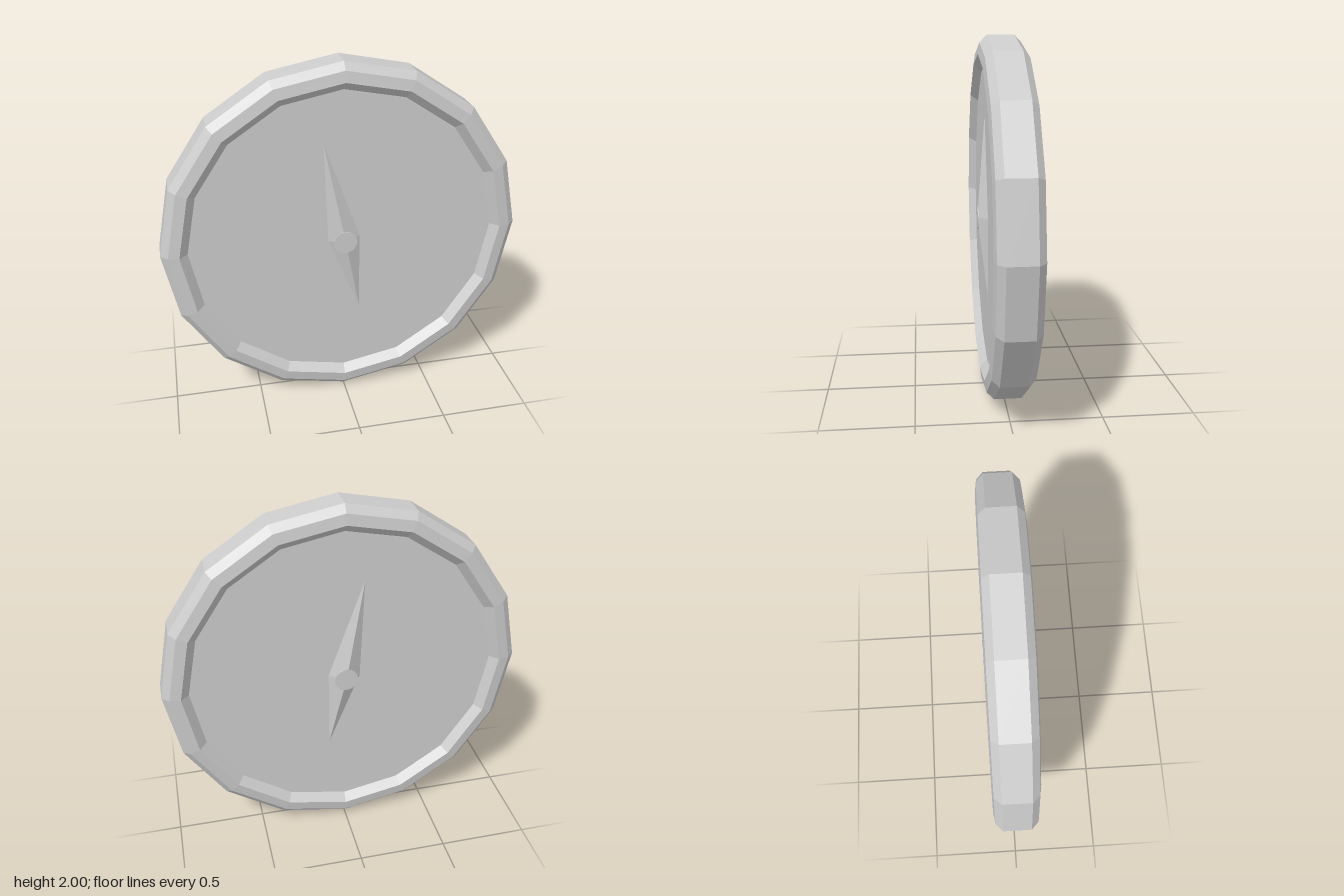
import * as THREE from 'three';

const metal = new THREE.MeshStandardMaterial({ color: 0xcccccc });
metal.name = 'light grey';

const DIAL_Z = 0.078;
const HUB_Z = 0.131;
const SIDES = 16;

// Faceted mesh with one normal per face
function flatMesh(name, geometry) {
  const g = geometry.index ? geometry.toNonIndexed() : geometry;
  g.computeVertexNormals();
  const mesh = new THREE.Mesh(g, metal);
  mesh.name = name;
  return mesh;
}

// Four-sided raised needle; flip = -1 mirrors it left to right
function needleGeometry(flip) {
  const corners = [[-0.11, 0.57], [-0.087, -0.01], [0.09, -0.45], [0.09, 0.01]]
    .map(([x, y]) => [x * flip, y, DIAL_Z]);
  if (flip < 0) corners.reverse();
  const positions = [];
  corners.forEach((corner, i) => {
    positions.push(0, 0, HUB_Z - 0.001, ...corner, ...corners[(i + 1) % 4]);
  });
  const g = new THREE.BufferGeometry();
  g.setAttribute('position', new THREE.Float32BufferAttribute(positions, 3));
  return g;
}

// Dial, needle and hub for one side of the compass
function createFace(name, flip) {
  const face = new THREE.Group();
  face.name = name;

  const dial = flatMesh('dial', new THREE.CircleGeometry(0.855, SIDES));
  dial.position.z = DIAL_Z;

  const hub = flatMesh('hub', new THREE.CylinderGeometry(0.065, 0.065, 0.003, 24).rotateX(Math.PI / 2));
  hub.position.z = HUB_Z - 0.0015;

  face.add(dial, flatMesh('needle', needleGeometry(flip)), hub);
  return face;
}

export function createModel() {
  const model = new THREE.Group();
  model.name = 'compass';
  const body = new THREE.Group();
  body.name = 'compassBody';
  body.position.y = 1;

  // Bevelled case ring, same profile on both sides
  const half = [[1, 0.075], [0.96, 0.113], [0.9, 0.122], [0.855, DIAL_Z]];
  const profile = [
    ...half.slice().reverse().map(([r, z]) => new THREE.Vector2(r, -z)),
    ...half.map(([r, z]) => new THREE.Vector2(r, z)),
  ];
  body.add(flatMesh('caseRing', new THREE.LatheGeometry(profile, SIDES).rotateX(Math.PI / 2)));

  // Front face and its mirror on the back
  const back = createFace('backFace', -1);
  back.rotation.y = Math.PI;
  body.add(createFace('frontFace', 1), back);

  model.add(body);
  return model;
}
